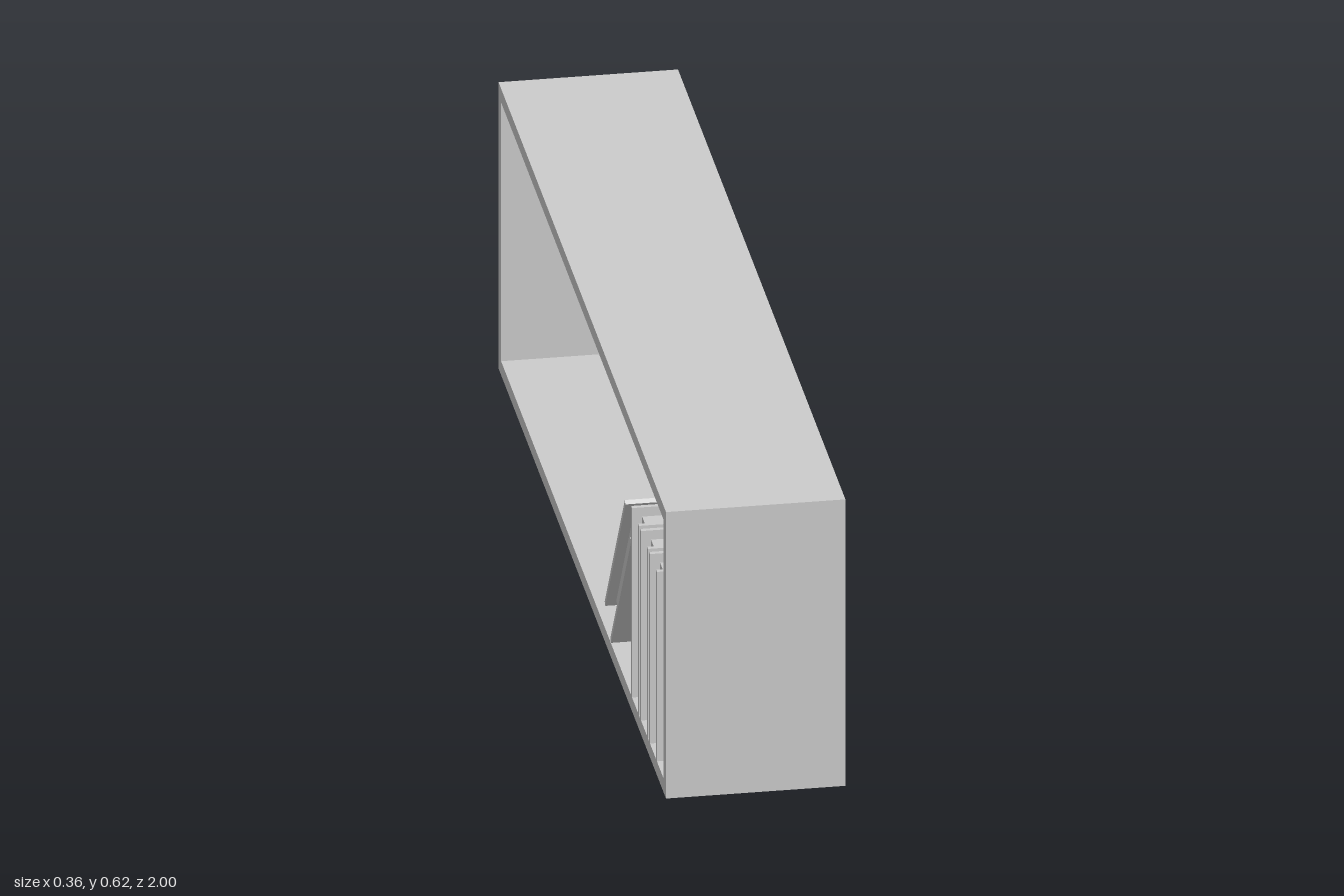
import * as THREE from 'three';

const grey = new THREE.MeshStandardMaterial({ color: 0xcccccc });
grey.name = 'plain grey';

// Box given by its size and centre
function box(name, w, h, d, x, y, z) {
  const mesh = new THREE.Mesh(new THREE.BoxGeometry(w, h, d), grey);
  mesh.name = name;
  mesh.position.set(x, y, z);
  return mesh;
}

// Book centred on its own origin: spine towards +x, pages set back from the covers
function makeBook(name) {
  const depth = 0.306, height = 0.41, thick = 0.093, cover = 0.01, inset = 0.02;
  const book = new THREE.Group();
  book.name = name;
  for (const side of [-1, 1]) {
    book.add(box('bookCover', depth, height, cover, 0, 0, side * (thick - cover) / 2));
  }
  book.add(box('bookSpine', cover, height, thick - 2 * cover, (depth - cover) / 2, 0, 0));
  book.add(box('bookPages', depth - cover - inset, height - 2 * inset, thick - 2 * cover,
    (inset - cover) / 2, 0, 0));
  return book;
}

export function createModel() {
  const model = new THREE.Group();
  model.name = 'shelfWithBooks';

  // Open rectangular frame
  const width = 0.356, height = 0.62, length = 2, board = 0.03;
  const shelf = new THREE.Group();
  shelf.name = 'shelfFrame';
  shelf.add(box('bottomBoard', width, board, length, 0, board / 2, 0));
  shelf.add(box('topBoard', width, board, length, 0, height - board / 2, 0));
  for (const side of [-1, 1]) {
    shelf.add(box('endBoard', width, height - 2 * board, board,
      0, height / 2, side * (length - board) / 2));
  }
  model.add(shelf);

  // Three upright books
  const bookX = -0.025;
  for (let i = 0; i < 3; i++) {
    const book = makeBook('uprightBook');
    book.position.set(bookX, board + 0.205, 0.845 - i * 0.107);
    model.add(book);
  }

  // Book leaning against the others
  const leaning = makeBook('leaningBook');
  leaning.position.set(bookX, 0.224, 0.425);
  leaning.rotation.x = THREE.MathUtils.degToRad(36);
  model.add(leaning);

  return model;
}
